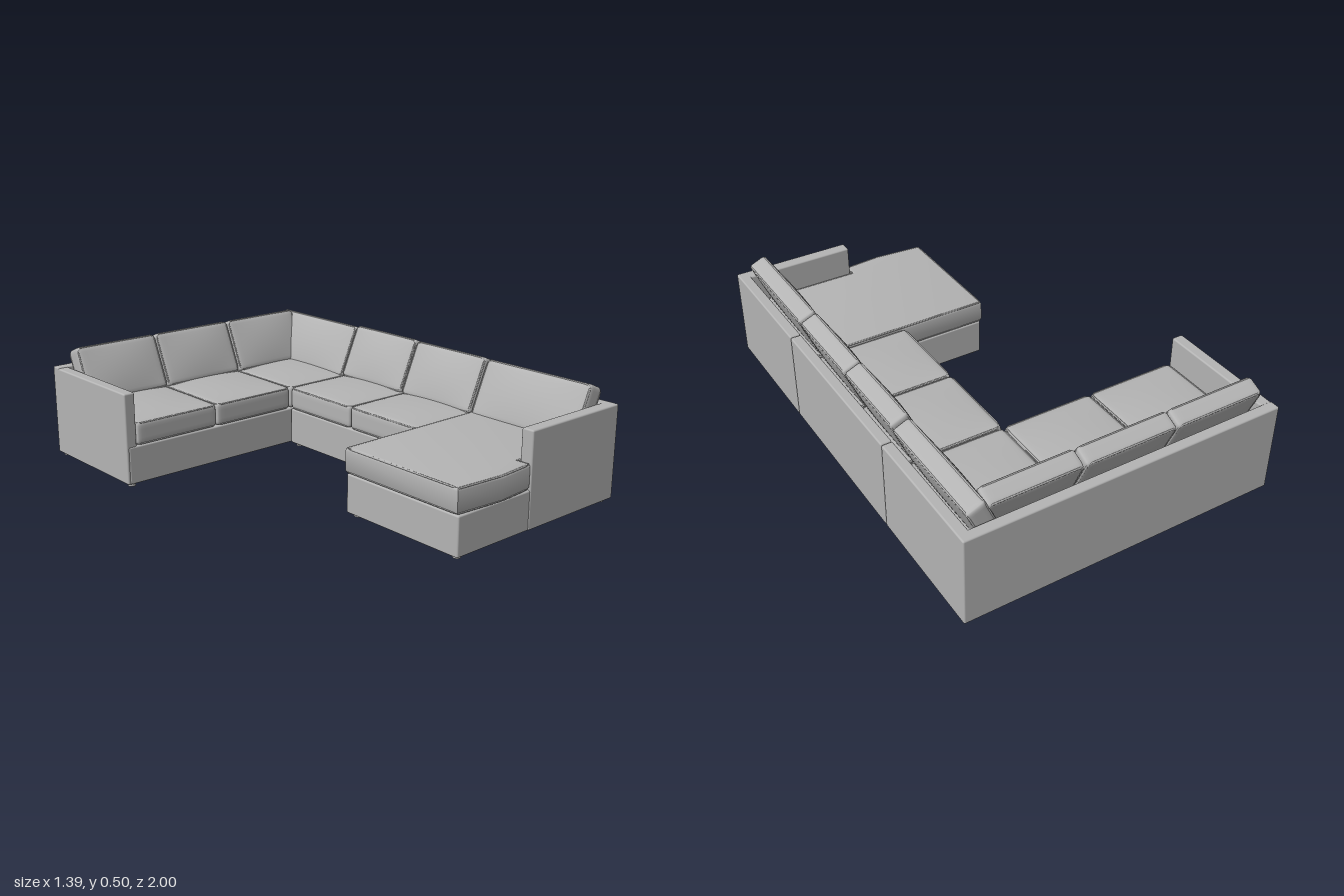
import * as THREE from 'three';
import { mergeVertices, toCreasedNormals } from 'three/addons/utils/BufferGeometryUtils.js';
import { RoundedBoxGeometry } from 'three/addons/geometries/RoundedBoxGeometry.js';

const fabric = new THREE.MeshStandardMaterial({ color: 0xb4b4b4 });
fabric.name = 'grey fabric';

function mesh(name, geometry, parent) {
  const m = new THREE.Mesh(geometry, fabric);
  m.name = name;
  parent.add(m);
  return m;
}

// Upholstered panel given by its limits on each axis
function panel(name, parent, [x0, x1], [y0, y1], [z0, z1]) {
  const g = new RoundedBoxGeometry(x1 - x0, y1 - y0, z1 - z0, 2, 0.007);
  mesh(name, g, parent).position.set((x0 + x1) / 2, (y0 + y1) / 2, (z0 + z1) / 2);
}

// Welt cord along a closed outline of [x, z] points at height y
function piping(points, y, parent) {
  const path = new THREE.CatmullRomCurve3(
    points.map(([x, z]) => new THREE.Vector3(x, y, z)), true, 'catmullrom', 0);
  mesh('piping', new THREE.TubeGeometry(path, 96, 0.004, 6, true), parent);
}

// Soft rounded block, swollen by `crown` above and `under` below
function cushion(name, w, h, d, crown, under, parent) {
  const r = 0.017, half = new THREE.Vector3(w / 2, h / 2, d / 2);
  const inner = half.clone().subScalar(r), low = inner.clone().negate();
  let g = new THREE.BoxGeometry(2, 2, 2, 18, 10, 18);
  g.deleteAttribute('uv');
  g.deleteAttribute('normal');
  g = mergeVertices(g);
  const pos = g.attributes.position, p = new THREE.Vector3(), c = new THREE.Vector3();
  const crowd = t => Math.sign(t) * (1 - (1 - Math.abs(t)) ** 2); // denser near edges
  for (let i = 0; i < pos.count; i++) {
    p.fromBufferAttribute(pos, i);
    p.set(crowd(p.x), crowd(p.y), crowd(p.z)).multiply(half);
    c.copy(p).clamp(low, inner);
    p.sub(c);
    if (p.lengthSq() > 0) p.setLength(r);
    p.add(c);
    const puff = (1 - (p.x / half.x) ** 2) * (1 - (p.z / half.z) ** 2);
    p.y += (p.y > 0 ? crown : under) * puff * p.y / half.y;
    pos.setXYZ(i, p.x, p.y, p.z);
  }
  g.computeVertexNormals();
  const group = new THREE.Group();
  group.name = name;
  parent.add(group);
  mesh(name + 'Body', g, group);
  const a = half.x - 0.005, b = half.z - 0.005, k = 0.014;
  const loop = [[-a + k, -b], [a - k, -b], [a, -b + k], [a, b - k],
    [a - k, b], [-a + k, b], [-a, b - k], [-a, -b + k]];
  for (const s of [1, -1]) piping(loop, s * (half.y - 0.005), group);
  return group;
}

function seat(parent, [x0, x1], [z0, z1]) {
  cushion('seatCushion', x1 - x0, 0.1, z1 - z0, 0.012, 0, parent)
    .position.set((x0 + x1) / 2, 0.226, (z0 + z1) / 2);
}

// Leaning back cushion; turn faces it away from its wall
function backCushion(parent, width, x, z, turn, top) {
  const holder = new THREE.Group();
  holder.name = 'backCushionPlace';
  const c = cushion('backCushion', width, 0.083, 0.25, 0.014, 0.006, holder);
  c.rotation.x = Math.PI / 2 - 0.41;
  c.position.set(0, 0.376 + top, 0.083);
  holder.position.set(x, 0, z);
  holder.rotation.y = turn;
  parent.add(holder);
}

// L-shaped chaise cushion, notched round the short arm
function chaiseCushion(parent) {
  const outline = i => [[-0.222 + i, 0.394 + i], [0.6 - i, 0.394 + i], [0.6 - i, 0.925 - i],
    [0.166 - i, 0.925 - i], [0.166 - i, 0.983 - i], [0, 0.997 - i], [-0.222 + i, 0.98 - i]];
  const shape = new THREE.Shape(outline(0.015).map(([x, z]) => new THREE.Vector2(x, -z)));
  const g = new THREE.ExtrudeGeometry(shape, {
    depth: 0.075, bevelSize: 0.015, bevelThickness: 0.015, bevelSegments: 4 });
  g.rotateX(-Math.PI / 2);
  const group = new THREE.Group();
  group.name = 'chaiseCushion';
  group.position.y = 0.193;
  parent.add(group);
  mesh('chaiseCushionBody', toCreasedNormals(g, 0.6), group);
  for (const y of [-0.01, 0.085]) piping(outline(0.005), y, group);
}

export function createModel() {
  const model = new THREE.Group();
  model.name = 'sectionalSofa';
  const base = [0.013, 0.175], full = [0.013, 0.41];

  // Long sofa along the back
  panel('sofaBase', model, [-0.69, 0.685], base, [-0.99, -0.415]);
  panel('sofaBack', model, [-0.7, 0.695], full, [-1, -0.953]);
  panel('sofaArm', model, [-0.7, -0.65], [0.013, 0.406], [-0.998, -0.418]);
  panel('cornerBack', model, [0.648, 0.695], full, [-0.999, -0.412]);

  // Armless middle section
  panel('middleBase', model, [0.17, 0.685], base, [-0.41, 0.395]);
  panel('middleBack', model, [0.648, 0.695], full, [-0.409, 0.398]);

  // Chaise with a short arm
  panel('chaiseBase', model, [-0.218, 0.685], base, [0.397, 0.982]);
  panel('chaiseBack', model, [0.648, 0.695], full, [0.401, 0.984]);
  panel('chaiseArm', model, [0.17, 0.695], full, [0.93, 0.985]);

  // Seat cushions
  for (const x of [[-0.648, -0.243], [-0.24, 0.168], [0.171, 0.62]]) seat(model, x, [-0.92, -0.413]);
  for (const z of [[-0.408, -0.012], [-0.009, 0.39]]) seat(model, [0.168, 0.62], z);
  chaiseCushion(model);

  // Back cushions: along the rear wall, then the side wall
  for (const [x0, x1] of [[-0.645, -0.243], [-0.238, 0.165], [0.172, 0.57]])
    backCushion(model, x1 - x0, (x0 + x1) / 2, -0.953, 0, 0);
  for (const [z0, z1, top] of [[-0.95, -0.413, -0.008], [-0.407, -0.018, 0],
    [-0.012, 0.392, -0.003], [0.402, 0.935, -0.005]])
    backCushion(model, z1 - z0, 0.648, (z0 + z1) / 2, -Math.PI / 2, top);

  // Low feet at the corners of each section
  const foot = new THREE.CylinderGeometry(0.018, 0.016, 0.02, 12);
  for (const [x0, x1, z0, z1] of [[-0.67, 0.66, -0.97, -0.44],
    [0.2, 0.66, -0.38, 0.365], [-0.185, 0.66, 0.43, 0.95]])
    for (const x of [x0, x1])
      for (const z of [z0, z1]) mesh('foot', foot, model).position.set(x, 0.01, z);

  return model;
}
